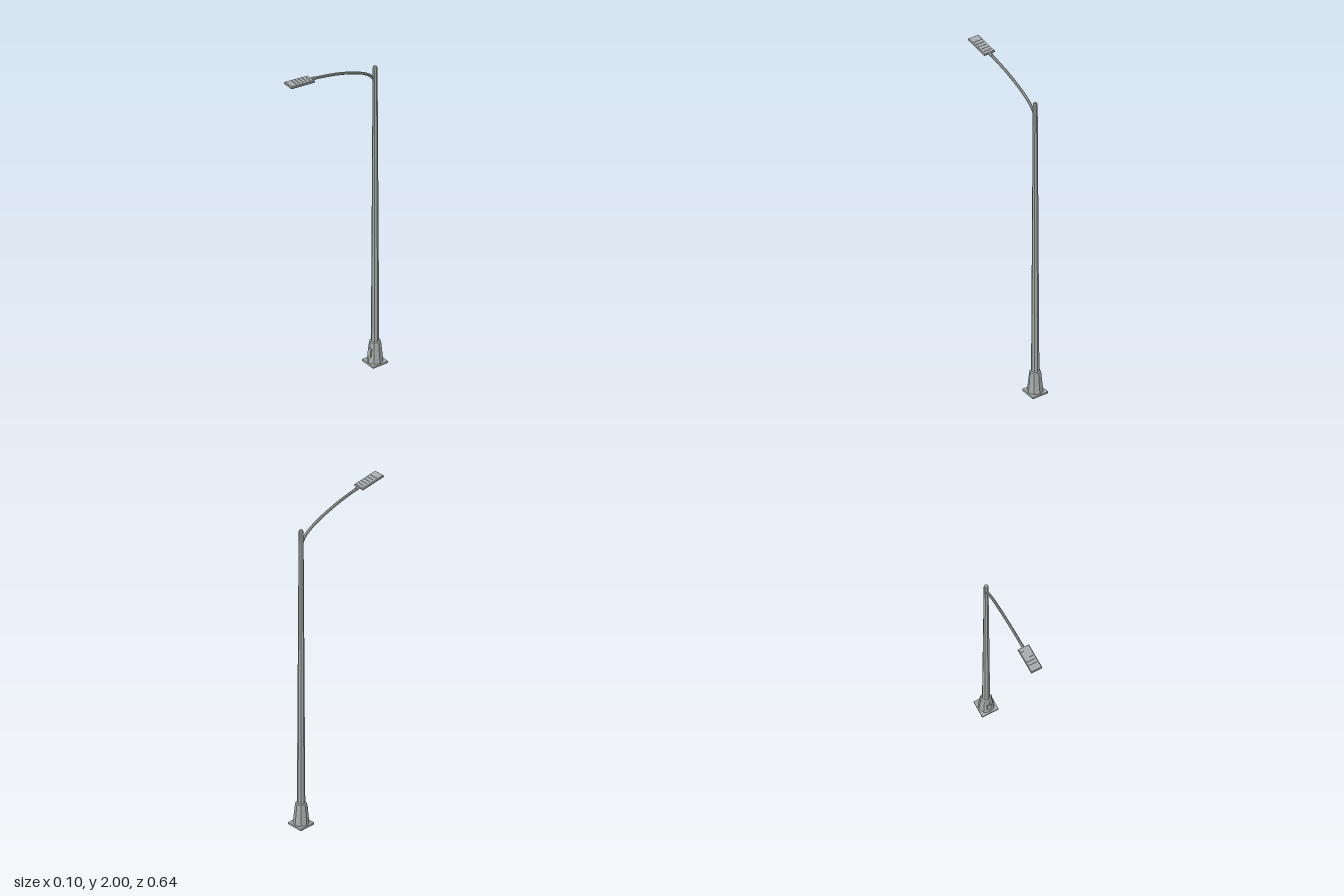
import * as THREE from 'three';

const POLE_Z = -0.27;

export function createModel() {
  const model = new THREE.Group();
  model.name = 'streetLight';

  const poleMetal = new THREE.MeshStandardMaterial({ color: 0xa3aaa8 });
  poleMetal.name = 'pole grey';
  const lampMetal = new THREE.MeshStandardMaterial({ color: 0xa7acae });
  lampMetal.name = 'lamp grey';

  function add(name, geometry, material, x, y, z, parent = model) {
    // faceted shading through unshared vertices
    const g = geometry.index ? geometry.toNonIndexed() : geometry;
    g.computeVertexNormals();
    const mesh = new THREE.Mesh(g, material);
    mesh.name = name;
    mesh.position.set(x, y, z);
    parent.add(mesh);
    return mesh;
  }

  // Square foot plate
  add('footPlate', new THREE.BoxGeometry(0.1, 0.012, 0.1), poleMetal, 0, 0.006, POLE_Z);

  // Octagonal base, tapering into a small shoulder
  const profile = (points) => new THREE.LatheGeometry(points.map(([r, y]) => new THREE.Vector2(r, y)), 8);
  add('baseSleeve', profile([[0, 0.01], [0.045, 0.01], [0.033, 0.13], [0.031, 0.138], [0.022, 0.142]]),
    poleMetal, 0, 0, POLE_Z);

  // Tapered pole with a rounded cap
  add('pole', profile([[0.0228, 0.13], [0.0135, 1.875], [0.0125, 1.886], [0.0095, 1.893], [0, 1.894]]),
    poleMetal, 0, 0, POLE_Z);

  // Service hatch on the front of the base
  const hatch = add('serviceHatch', new THREE.BoxGeometry(0.026, 0.05, 0.008), poleMetal, 0, 0.075, POLE_Z + 0.036);
  hatch.rotation.x = -0.095;

  // Curved arm
  const path = new THREE.CatmullRomCurve3([
    [1.79, -0.268], [1.822, -0.256], [1.855, -0.225], [1.895, -0.15],
    [1.938, -0.02], [1.96, 0.08], [1.973, 0.16],
  ].map(([y, z]) => new THREE.Vector3(0, y, z)));
  add('arm', new THREE.TubeGeometry(path, 20, 0.0082, 8, false), poleMetal, 0, 0, 0);

  // Lamp head, tilted up towards its tip
  const lamp = new THREE.Group();
  lamp.name = 'lampHead';
  lamp.position.set(0, 1.982, 0.24);
  lamp.rotation.x = -0.11;
  model.add(lamp);

  // Bevelled housing
  const w = 0.030, d = 0.075;
  const outline = new THREE.Shape([[-w, -d], [w, -d], [w, d], [-w, d]].map(([x, y]) => new THREE.Vector2(x, y)));
  const housing = new THREE.ExtrudeGeometry(outline, {
    depth: 0.008, bevelEnabled: true, bevelThickness: 0.004, bevelSize: 0.004, bevelSegments: 1,
  });
  housing.rotateX(-Math.PI / 2);
  add('lampHousing', housing, lampMetal, 0, -0.004, 0, lamp);

  // Cooling ribs on top
  for (let i = 0; i < 5; i++) {
    add('coolingRib', new THREE.BoxGeometry(0.05, 0.004, 0.004), lampMetal, 0, 0.008, -0.056 + i * 0.0227, lamp);
  }

  // Collar joining arm and lamp
  const collar = new THREE.CylinderGeometry(0.0085, 0.0095, 0.032, 8);
  collar.rotateX(Math.PI / 2);
  add('collar', collar, lampMetal, 0, 0, -0.085, lamp);

  // Light panel underneath
  add('lightPanel', new THREE.BoxGeometry(0.052, 0.003, 0.12), lampMetal, 0, -0.0085, 0.006, lamp);

  return model;
}
